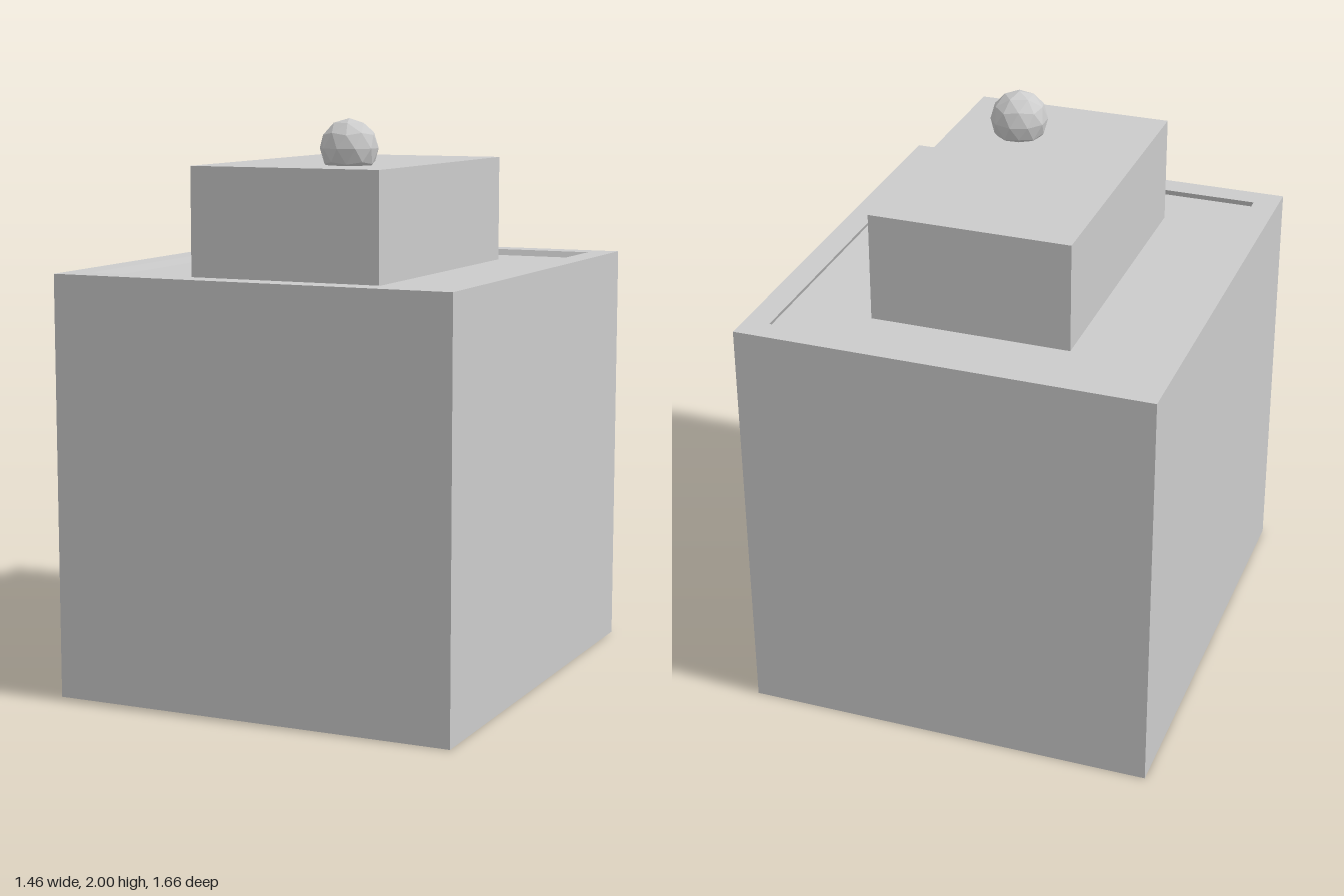
import * as THREE from 'three';

const grey = new THREE.MeshStandardMaterial({ color: 0xcccccc, flatShading: true, side: THREE.DoubleSide });

function add(group, name, geometry, x = 0, y = 0, z = 0) {
  const mesh = new THREE.Mesh(geometry, grey);
  mesh.name = name;
  mesh.position.set(x, y, z);
  group.add(mesh);
  return mesh;
}

// Box with the bottom face, and optionally the top face, left off
function openBox(w, h, d, hasTop) {
  const geo = new THREE.BoxGeometry(w, h, d);
  const index = Array.from(geo.index.array);
  // face order: +x, -x, +y, -y, +z, -z, six indices each
  geo.setIndex(index.filter((_, i) => {
    const face = Math.floor(i / 6);
    return face !== 3 && (hasTop || face !== 2);
  }));
  return geo;
}

function rectangle(Type, w, d) {
  return new Type([[-1, -1], [1, -1], [1, 1], [-1, 1]].map(
    ([x, y]) => new THREE.Vector2(x * w / 2, y * d / 2)));
}

export function createModel() {
  const model = new THREE.Group();
  model.name = 'steppedBox';

  const W = 1.46, H = 1.48, D = 1.66;      // body
  const w = 1.28, d = 1.48;                // recess opening
  const depth = 0.022, shift = 0.01;       // recess depth and sideways offset of its floor

  // Hollow body, open below
  add(model, 'bodyWalls', openBox(W, H, D, false), 0, H / 2, 0);

  // Flat rim around the recess
  const rim = rectangle(THREE.Shape, W, D);
  rim.holes.push(rectangle(THREE.Path, w, d));
  add(model, 'topRim', new THREE.ShapeGeometry(rim).rotateX(-Math.PI / 2), 0, H, 0);

  // Recess walls lean slightly because the floor is offset
  const walls = openBox(w, depth, d, false);
  const pos = walls.attributes.position;
  for (let i = 0; i < pos.count; i++) {
    if (pos.getY(i) < 0) {
      pos.setX(i, pos.getX(i) + shift);
      pos.setZ(i, pos.getZ(i) + shift);
    }
  }
  walls.computeVertexNormals();
  add(model, 'recessWalls', walls, 0, H - depth / 2, 0);
  add(model, 'recessFloor', new THREE.PlaneGeometry(w, d).rotateX(-Math.PI / 2), shift, H - depth, shift);

  // Upper block, a hollow column reaching down inside the body
  const bottom = 0.37, top = 1.84;
  add(model, 'upperBlock', openBox(0.705, top - bottom, 1.1, true), 0, (top + bottom) / 2, 0);

  // Faceted knob sunk a little into the block, one vertex pointing up
  const ball = new THREE.IcosahedronGeometry(0.102, 1).rotateZ(-Math.atan(2 / (1 + Math.sqrt(5))));
  add(model, 'knob', ball, 0.112, 1.898, 0.263);

  return model;
}
